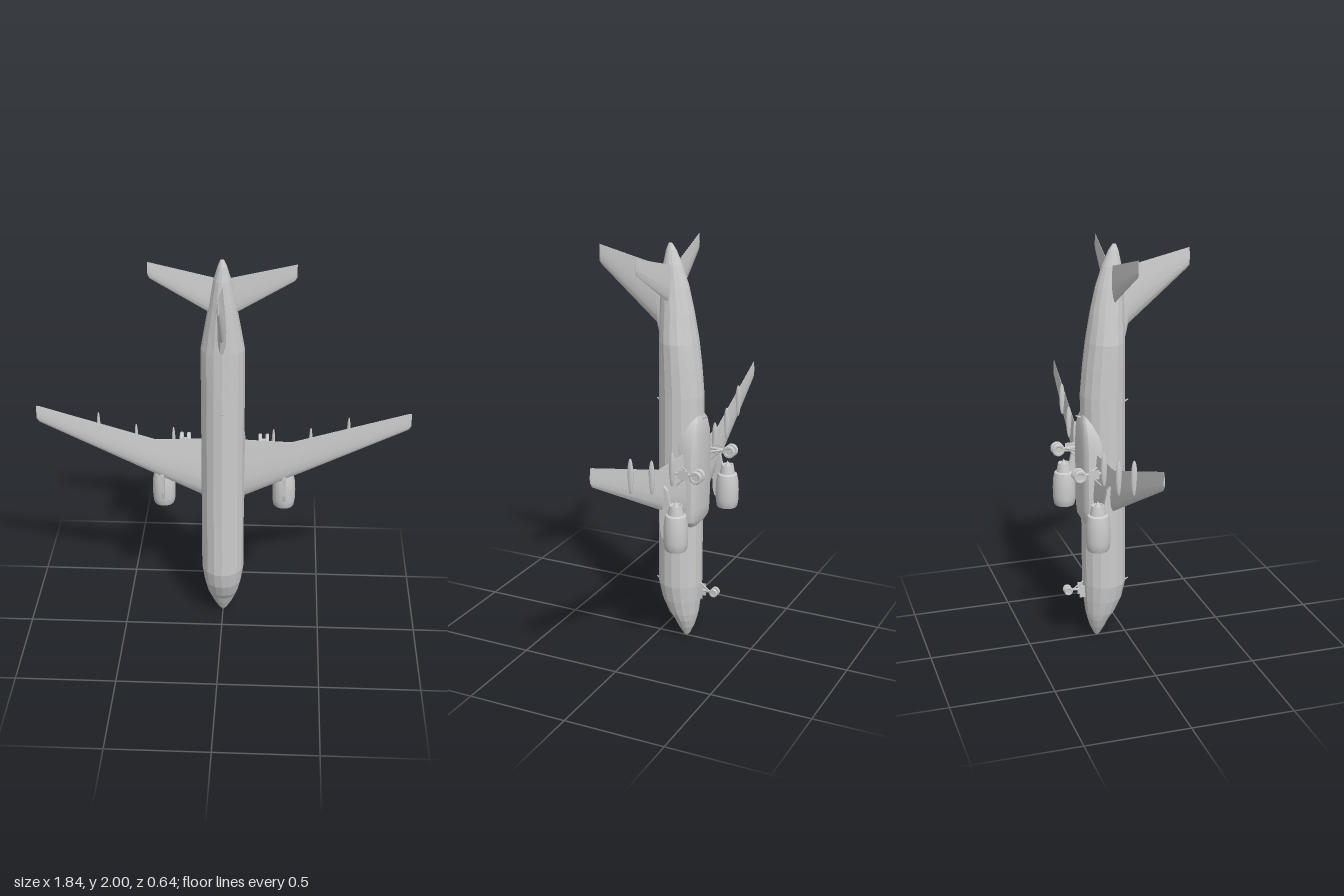
import * as THREE from 'three';
import { toCreasedNormals } from 'three/addons/utils/BufferGeometryUtils.js';

const V = (x, y, z) => new THREE.Vector3(x, y, z);
const smooth = new THREE.MeshStandardMaterial({ color: 0xcccccc, side: THREE.DoubleSide });
const flat = new THREE.MeshStandardMaterial({ color: 0xcccccc, flatShading: true });

function add(parent, name, geometry, material = smooth) {
  const mesh = new THREE.Mesh(geometry, material);
  mesh.name = name;
  parent.add(mesh);
  return mesh;
}

// Skin a list of equal-length closed rings, cap both ends, faces outward
function loft(rings) {
  const n = rings[0].length, pts = rings.flat(), idx = [];
  for (let r = 0; r < rings.length - 1; r++) {
    for (let i = 0; i < n; i++) {
      const a = r * n + i, b = r * n + (i + 1) % n;
      idx.push(a, b, b + n, a, b + n, a + n);
    }
  }
  const last = (rings.length - 1) * n;
  for (let i = 1; i < n - 1; i++) idx.push(0, i + 1, i, last, last + i, last + i + 1);
  let volume = 0;
  for (let i = 0; i < idx.length; i += 3) {
    volume += pts[idx[i]].dot(pts[idx[i + 1]].clone().cross(pts[idx[i + 2]]));
  }
  if (volume < 0) idx.reverse();
  const g = new THREE.BufferGeometry().setFromPoints(pts);
  g.setIndex(idx);
  g.computeVertexNormals();
  return g;
}

// Superellipse ring across the fuselage axis
function hullRing([y, w, zTop, zBottom], power = 1, sides = 16) {
  const zc = (zTop + zBottom) / 2, h = (zTop - zBottom) / 2;
  const p = (v) => Math.sign(v) * Math.abs(v) ** power;
  return Array.from({ length: sides }, (_, i) => {
    const t = (i / sides) * Math.PI * 2;
    return V(w * p(Math.cos(t)), y, zc + h * p(Math.sin(t)));
  });
}

// Aerofoil section from leading to trailing edge, thickened along "up"
function foil(le, te, half, up) {
  const side = [[0.03, 0.4], [0.15, 0.85], [0.35, 1], [0.65, 0.65], [1, 0.1]];
  const at = (t, h) => le.clone().lerp(te, t).addScaledVector(up, h * half);
  return [at(0, 0), ...side.map(([t, h]) => at(t, h)),
    ...side.slice().reverse().map(([t, h]) => at(t, -h))];
}
const creasedFoil = (rings) => toCreasedNormals(loft(rings), 0.7);

// Round bar between two points
function bar(a, b, r0, r1 = r0, sides = 10) {
  const d = b.clone().sub(a);
  const g = new THREE.CylinderGeometry(r1, r0, d.length(), sides);
  g.applyQuaternion(new THREE.Quaternion().setFromUnitVectors(V(0, 1, 0), d.normalize()));
  const c = a.clone().add(b).multiplyScalar(0.5);
  return g.translate(c.x, c.y, c.z);
}

function box(w, h, d, x, y, z) {
  return new THREE.BoxGeometry(w, h, d).translate(x, y, z);
}

// Two wheels on a common axle
function wheelPair(parent, x, y, z, r, gap, width) {
  for (const s of [-1, 1]) {
    const cx = x + s * gap;
    const tyre = new THREE.LatheGeometry([
      [0, -0.35], [0.5, -0.35], [0.6, -0.5], [0.88, -0.5], [1, -0.28],
      [1, 0.28], [0.88, 0.5], [0.6, 0.5], [0.5, 0.35], [0, 0.35],
    ].map(([a, b]) => new THREE.Vector2(a * r, b * width)), 18);
    tyre.rotateZ(Math.PI / 2).translate(cx, y, z);
    add(parent, 'wheel', toCreasedNormals(tyre, 0.6));
  }
  add(parent, 'axle', bar(V(x - gap, y, z), V(x + gap, y, z), r * 0.2));
}

function buildEngine(parent, s) {
  const engine = new THREE.Group();
  engine.name = 'engine';
  const x = s * 0.308, z = -0.228;
  // Spinner, fan, inlet lip, cowl, nozzle and plug in one profile
  const profile = [[0, 0.635], [0.014, 0.658], [0.046, 0.66], [0.046, 0.625], [0.05, 0.61],
    [0.054, 0.618], [0.058, 0.65], [0.059, 0.7], [0.056, 0.75], [0.049, 0.785],
    [0.038, 0.79], [0.03, 0.835], [0.024, 0.835], [0.018, 0.825], [0, 0.855]];
  const cowl = new THREE.LatheGeometry(profile.map(([r, y]) => new THREE.Vector2(r, y)), 20);
  add(engine, 'nacelle', toCreasedNormals(cowl.translate(x, 0, z), 0.5));
  // Pylon plate: shape x is depth below the back of the hull
  const plate = new THREE.Shape([[0.185, 0.65], [0.16, 0.66], [0.15, 0.7], [0.146, 0.8],
    [0.16, 0.93], [0.185, 0.9], [0.2, 0.83], [0.2, 0.67]].map(([a, b]) => new THREE.Vector2(a, b)));
  const g = new THREE.ExtrudeGeometry(plate, { depth: 0.018, bevelEnabled: false });
  add(engine, 'pylon', g.rotateY(Math.PI / 2).translate(x - 0.009, 0, 0));
  parent.add(engine);
}

function buildMainGear(parent, s) {
  const gear = new THREE.Group();
  gear.name = 'mainGear';
  const x = s * 0.2, y = 0.95;
  wheelPair(gear, x, y, -0.287, 0.032, 0.018, 0.018);
  add(gear, 'strut', bar(V(x, y, -0.165), V(x, y, -0.287), 0.007));
  add(gear, 'brace', bar(V(x, y, -0.25), V(s * 0.12, y, -0.175), 0.005));
  add(gear, 'brace', bar(V(x, y, -0.24), V(x, y - 0.06, -0.18), 0.004));
  add(gear, 'gearDoor', box(0.004, 0.045, 0.055, x + s * 0.012, y, -0.218));
  parent.add(gear);
}

export function createModel() {
  const plane = new THREE.Group();
  plane.name = 'airliner';

  // Fuselage stations: height, half width, back edge, belly edge
  const stations = [[0, 0.004, -0.144, -0.152], [0.015, 0.02, -0.134, -0.165],
    [0.06, 0.046, -0.108, -0.186], [0.105, 0.066, -0.086, -0.199], [0.14, 0.078, -0.058, -0.207],
    [0.215, 0.095, -0.022, -0.216], [0.3, 0.107, -0.003, -0.221], [0.9, 0.107, -0.003, -0.222],
    [1.28, 0.107, -0.003, -0.222], [1.42, 0.107, -0.003, -0.209], [1.54, 0.106, -0.003, -0.193],
    [1.68, 0.082, -0.004, -0.17], [1.8, 0.061, -0.007, -0.144], [1.9, 0.042, -0.016, -0.111],
    [1.97, 0.022, -0.03, -0.08], [2, 0.01, -0.042, -0.06]];
  add(plane, 'fuselage', loft(stations.map((s) => hullRing(s))), flat);

  // Flat-bottomed fairing under the wing roots
  const belly = [[0.63, 0.08, -0.15, -0.215], [0.66, 0.106, -0.13, -0.231],
    [0.72, 0.11, -0.12, -0.236], [1.02, 0.11, -0.12, -0.236], [1.1, 0.1, -0.13, -0.234],
    [1.16, 0.075, -0.15, -0.228], [1.2, 0.035, -0.17, -0.215]];
  add(plane, 'bellyFairing', toCreasedNormals(loft(belly.map((b) => hullRing(b, 0.55))), 0.6));

  const up = V(0, 0, 1);
  for (const s of [-1, 1]) {
    // Swept wing with a kinked trailing edge
    add(plane, 'wing', creasedFoil([
      [0.04, 0.655, 1.01, -0.174, 0.024], [0.107, 0.69, 1.01, -0.17, 0.022],
      [0.34, 0.812, 1.01, -0.154, 0.014], [0.91, 1.115, 1.202, -0.115, 0.006],
      [0.922, 1.133, 1.203, -0.114, 0.003],
    ].map(([x, le, te, z, h]) => foil(V(s * x, le, z), V(s * x, te, z), h, up))));

    // Tailplane
    add(plane, 'tailplane', creasedFoil([
      [0.015, 1.705, 1.9, -0.073, 0.012], [0.335, 1.908, 1.986, -0.043, 0.005],
      [0.345, 1.925, 1.988, -0.042, 0.003],
    ].map(([x, le, te, z, h]) => foil(V(s * x, le, z), V(s * x, te, z), h, up))));

    // Flap track fairings beneath the trailing edge
    for (const [x, end, z] of [[0.25, 1.07, -0.18], [0.435, 1.09, -0.164], [0.62, 1.157, -0.15]]) {
      const pod = new THREE.SphereGeometry(1, 10, 10).scale(0.009, 0.085, 0.015);
      add(plane, 'flapFairing', pod.translate(s * x, end - 0.085, z));
    }
    buildEngine(plane, s);
    buildMainGear(plane, s);
  }

  // Fin with a small dorsal fillet
  add(plane, 'fin', creasedFoil([
    [-0.03, 1.53, 1.9, 0.021], [0, 1.545, 1.89, 0.021], [0.016, 1.615, 1.893, 0.019],
    [0.31, 1.866, 1.962, 0.008], [0.322, 1.88, 1.966, 0.004],
  ].map(([z, le, te, h]) => foil(V(0, le, z), V(0, te, z), h, V(1, 0, 0)))));

  // Nose gear
  const nose = new THREE.Group();
  nose.name = 'noseGear';
  wheelPair(nose, 0, 0.27, -0.298, 0.022, 0.014, 0.014);
  add(nose, 'strut', bar(V(0, 0.265, -0.2), V(0, 0.27, -0.298), 0.006));
  add(nose, 'brace', bar(V(0, 0.31, -0.215), V(0, 0.27, -0.27), 0.004));
  for (const s of [-1, 1]) add(nose, 'gearDoor', box(0.003, 0.065, 0.035, s * 0.02, 0.262, -0.225));
  plane.add(nose);

  // Blade antennas on back and belly
  for (const [y, z, dir] of [[0.285, -0.006, 1], [1.23, -0.006, 1], [1.17, -0.222, -1]]) {
    add(plane, 'antenna', bar(V(0, y, z), V(0, y + 0.012, z + dir * 0.024), 0.006, 0.003, 6));
  }
  return plane;
}
